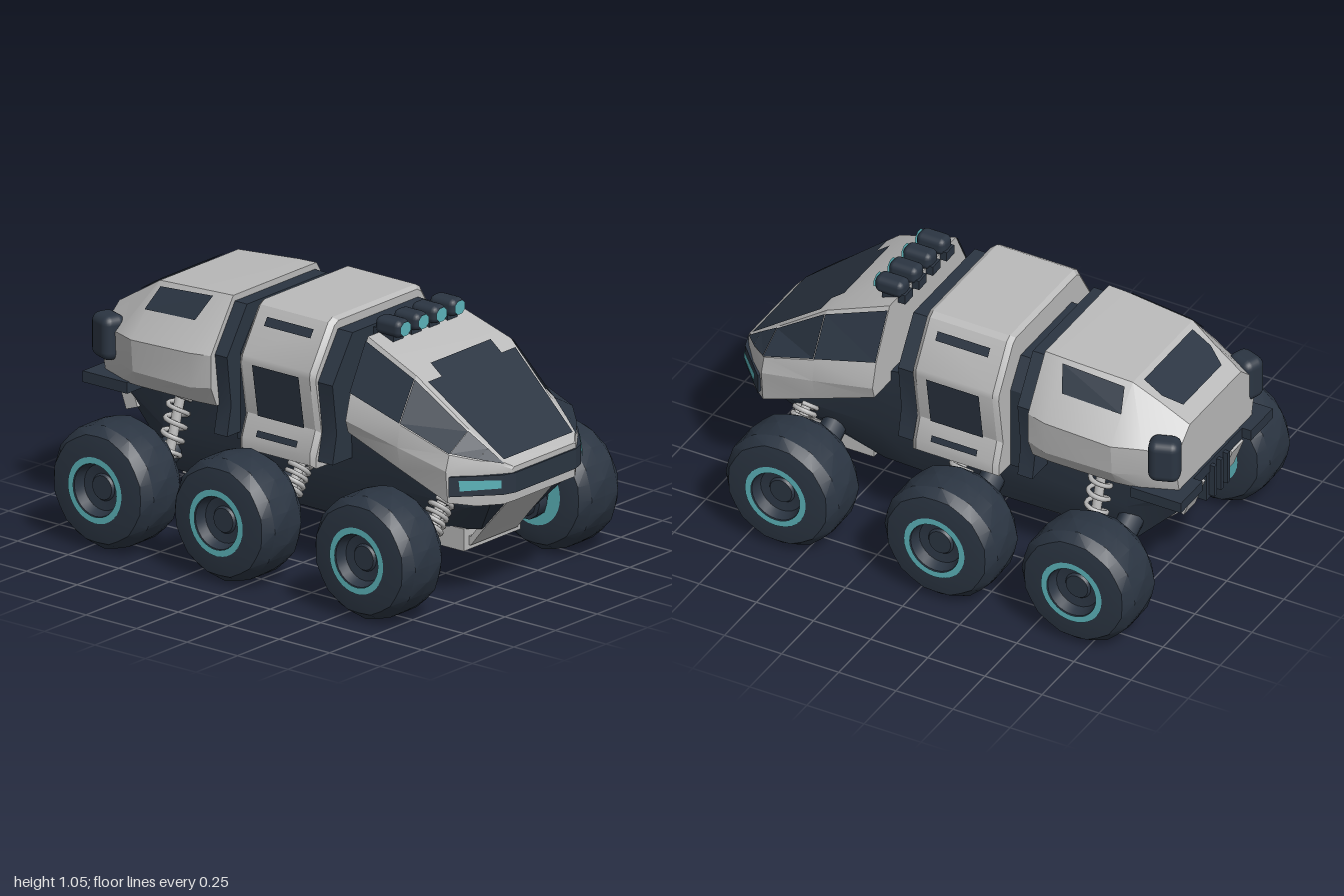
import * as THREE from 'three';
import { toCreasedNormals } from 'three/addons/utils/BufferGeometryUtils.js';
import { RoundedBoxGeometry } from 'three/addons/geometries/RoundedBoxGeometry.js';

const mat = (name, color) =>
  Object.assign(new THREE.MeshStandardMaterial({ color, side: THREE.DoubleSide }), { name });
const V = (x, y, z) => new THREE.Vector3(x, y, z);

export function createModel() {
  const hull = mat('hull grey', 0xbababa), dark = mat('dark navy', 0x2b3542), teal = mat('teal', 0x5cb4bb);
  const model = new THREE.Group();
  const add = (name, geo, m, parent = model) => {
    const mesh = new THREE.Mesh(geo, m);
    mesh.name = name;
    parent.add(mesh);
    return mesh;
  };
  const box = (name, m, w, h, d, x, y, z) => {
    const b = add(name, new THREE.BoxGeometry(w, h, d), m);
    b.position.set(x, y, z);
    return b;
  };
  const fromPoints = pts => new THREE.BufferGeometry().setFromPoints(pts);

  // Symmetric shell from half sections [z, [x, y]...], listed front to back
  const loft = (name, m, sections) => {
    const rings = sections.map(([z, ...half]) => [
      ...half.map(([x, y]) => V(x, y, z)), ...half.map(([x, y]) => V(-x, y, z)).reverse()]);
    const n = rings[0].length, tris = [];
    const quad = (a, b, c, d) => tris.push(a, b, c, a, c, d);
    for (let i = 0; i + 1 < rings.length; i++) for (let k = 0; k < n; k++) {
      const j = (k + 1) % n, [p, q] = [rings[i], rings[i + 1]];
      if (k < n / 2) quad(p[k], p[j], q[j], q[k]);
      else quad(p[j], q[j], q[k], p[k]);
    }
    const f = rings[0], b = rings[rings.length - 1];
    for (let k = 0; k + 1 < n / 2; k++) {
      quad(f[k], f[n - 1 - k], f[n - 2 - k], f[k + 1]);
      quad(b[k], b[k + 1], b[n - 2 - k], b[n - 1 - k]);
    }
    return add(name, toCreasedNormals(fromPoints(tris), 0.4), m);
  };

  // Thin convex panel lifted a little off the surface
  const plate = (name, m, pts, lift = 0.007) => {
    const nrm = pts[1].clone().sub(pts[0]).cross(pts[2].clone().sub(pts[0])).normalize();
    const inward = nrm.dot(V(pts[0].x + pts[2].x, pts[0].y + pts[2].y - 1.1, 0.6 * pts[0].z)) < 0;
    if (inward) nrm.negate();
    const p = pts.map(q => q.clone().addScaledVector(nrm, lift)), tris = [];
    for (let i = 1; i + 1 < p.length; i++)
      tris.push(p[0], ...(inward ? [p[i + 1], p[i]] : [p[i], p[i + 1]]));
    const g = fromPoints(tris);
    g.computeVertexNormals();
    add(name, g, m);
  };
  const plates = (name, m, pts, lift) => {
    plate(name + 'Left', m, pts, lift);
    plate(name + 'Right', m, pts.map(p => V(-p.x, p.y, p.z)), lift);
  };
  // Point on a half section, between its points k and k + 1
  const on = ([z, ...h], k, t) =>
    V(h[k][0] + (h[k + 1][0] - h[k][0]) * t, h[k][1] + (h[k + 1][1] - h[k][1]) * t, z);
  const rod = (name, m, a, b, r, parent) => {
    const c = add(name, new THREE.CylinderGeometry(r, r, a.distanceTo(b), 10), m, parent);
    c.position.copy(a).lerp(b, 0.5);
    c.quaternion.setFromUnitVectors(V(0, 1, 0), b.clone().sub(a).normalize());
  };

  // Chassis and belly
  loft('chassis', dark, [
    [0.93, [0.25, 0.47], [0.25, 0.45], [0.14, 0.44]],
    [0.8, [0.26, 0.56], [0.24, 0.4], [0.15, 0.29]],
    [0.4, [0.25, 0.67], [0.24, 0.4], [0.17, 0.205]],
    [0.24, [0.25, 0.7], [0.24, 0.4], [0.17, 0.2]],
    [-0.7, [0.25, 0.62], [0.24, 0.4], [0.17, 0.21]],
    [-0.91, [0.22, 0.58], [0.2, 0.5], [0.15, 0.42]]]);
  const belly = [[0.93, 0.44], [0.8, 0.29], [0.74, 0.215], [0.4, 0.2], [0.24, 0.197], [-0.68, 0.205], [-0.91, 0.41]];
  loft('bellyPlate', hull, belly.map(([z, y]) => [z, [0.14, y + 0.03], [0.14, y - 0.006]]));
  box('frontSkid', hull, 0.34, 0.09, 0.28, 0, 0.235, 0.59);
  box('rearSkid', hull, 0.32, 0.04, 0.46, 0, 0.217, -0.44);
  for (const z of [0.28, -0.02]) box('bellyPanel', dark, 0.18, 0.012, 0.2, 0, 0.19, z);

  // Front cabin
  const cabin = [
    [0.988, [0.18, 0.592], [0.19, 0.585], [0.19, 0.56], [0.18, 0.455]],
    [0.965, [0.212, 0.612], [0.218, 0.6], [0.225, 0.57], [0.215, 0.445]],
    [0.9, [0.228, 0.66], [0.295, 0.628], [0.31, 0.575], [0.3, 0.445]],
    [0.82, [0.245, 0.722], [0.368, 0.652], [0.388, 0.59], [0.376, 0.46]],
    [0.59, [0.285, 0.9], [0.385, 0.728], [0.4, 0.64], [0.38, 0.545]],
    [0.33, [0.26, 0.995], [0.368, 0.79], [0.395, 0.69], [0.38, 0.64]]];
  loft('cabin', hull, cabin);
  for (let i = 1; i < 5; i++) {
    const [a, b] = [cabin[i], cabin[i + 1]];
    const [t0, t1] = i === 1 ? [0.5, 0.6] : [0.08, 0.98];
    plates('cabinSideWindow', dark, [on(a, 0, t0), on(b, 0, 0.08), on(b, 0, 0.98), on(a, 0, t1)]);
  }
  const ws = (x, z) => V(x, 0.9 - 0.775 * (z - 0.59), z);
  plate('windshield', dark, [ws(-0.262, 0.625), ws(-0.207, 0.955), ws(0.207, 0.955), ws(0.262, 0.625)]);
  plate('windshieldTop', dark, [ws(-0.18, 0.57), ws(-0.18, 0.625), ws(0.18, 0.625), ws(0.18, 0.57)]);

  // Wraparound bumper band with headlights
  const plan = [[0.388, 0.835], [0.235, 0.977], [0.18, 0.996]];
  const outline = [...plan, ...plan.map(([x, z]) => [-x, z]).reverse()];
  const band = new THREE.ExtrudeGeometry(
    new THREE.Shape(outline.map(([x, z]) => new THREE.Vector2(x, -z))), { depth: 0.08, bevelEnabled: false });
  add('bumperBand', band.rotateX(-Math.PI / 2), dark).position.y = 0.49;
  const lamp = (t, y) => V(0.388 - 0.153 * t, y, 0.835 + 0.142 * t);
  plates('headlight', teal, [lamp(0.2, 0.513), lamp(0.97, 0.518), lamp(0.97, 0.55), lamp(0.18, 0.556)], 0.005);

  // Roof lamps
  const lampShape = new RoundedBoxGeometry(0.076, 0.07, 0.125, 2, 0.024);
  const lensShape = new THREE.CircleGeometry(0.034, 8, Math.PI / 8).scale(1, 0.88, 1);
  for (const x of [-0.163, -0.054, 0.054, 0.163]) {
    add('roofLamp', lampShape, dark).position.set(x, 1.022, 0.372);
    add('roofLampLens', lensShape, teal).position.set(x, 1.023, 0.437);
    box('roofLampFoot', dark, 0.06, 0.04, 0.1, x, 0.99, 0.35);
  }

  // Joints between the modules
  const frame = [[0.24, 0.985], [0.36, 0.8], [0.335, 0.6], [0.36, 0.48]];
  loft('frontJointFrame', dark, [[0.237, ...frame], [0.16, ...frame]]);
  loft('rearJointFrame', dark, [[-0.285, ...frame], [-0.35, ...frame]]);
  loft('rearJointNeck', dark, [0.1, -0.3].map(z => [z, [0.2, 0.915], [0.28, 0.8], [0.28, 0.45]]));

  // Middle module
  const mid = [[0.25, 1.03], [0.275, 1.015], [0.383, 0.84], [0.387, 0.815], [0.352, 0.6], [0.385, 0.51], [0.385, 0.465]];
  const inset = mid.map(([x, y]) => [x - 0.014, y - 0.012]);
  const midAt = z => [z, ...mid];
  loft('middleModule', hull, [[0.165, ...inset], midAt(0.145), midAt(-0.19), [-0.21, ...inset]]);
  const panel = (name, k, t0, t1, z0, z1) => plates(name, dark,
    [on(midAt(z0), k, t0), on(midAt(z1), k, t0), on(midAt(z1), k, t1), on(midAt(z0), k, t1)]);
  panel('middleWindow', 3, 0, 1, 0.096, -0.134);
  panel('upperVent', 1, 0.2, 0.38, 0.096, -0.134);
  panel('lowerVent', 4, 0.6, 0.87, 0.08, -0.12);

  // Rear module
  const rear = [
    [-0.345, [0.25, 1.01], [0.385, 0.8], [0.385, 0.67], [0.35, 0.59]],
    [-0.43, [0.25, 1.006], [0.41, 0.8], [0.405, 0.66], [0.36, 0.59]],
    [-0.72, [0.235, 0.985], [0.41, 0.79], [0.4, 0.66], [0.36, 0.59]],
    [-0.83, [0.215, 0.918], [0.355, 0.78], [0.35, 0.66], [0.33, 0.58]],
    [-0.95, [0.2, 0.845], [0.3, 0.76], [0.3, 0.66], [0.28, 0.57]]];
  loft('rearModule', hull, rear);
  const side = (t, u) => on(rear[1], 0, t).lerp(on(rear[2], 0, t), u);
  plates('rearSideWindow', dark, [side(0.08, 0), side(0.1, 0.92), side(0.5, 1), side(0.5, 0.12)]);
  const slope = (x, z) => V(x, 0.985 + 0.609 * (z + 0.72), z);
  plate('rearWindow', dark, [[0.19, -0.74], [0.19, -0.82], [0.15, -0.89], [-0.15, -0.89], [-0.19, -0.82], [-0.19, -0.74]]
    .map(([x, z]) => slope(x, z)));
  const podShape = new RoundedBoxGeometry(0.1, 0.18, 0.125, 3, 0.035);
  for (const s of [1, -1]) {
    const pod = add('tailPod', podShape, dark);
    pod.position.set(s * 0.318, 0.745, -0.907);
    pod.rotation.y = s * 0.35;
    box('rearStep', dark, 0.17, 0.045, 0.22, s * 0.275, 0.568, -0.89);
    box('tailBracket', hull, 0.09, 0.13, 0.06, s * 0.15, 0.48, -0.915).rotation.x = -0.35;
  }
  box('rearCrossbar', dark, 0.4, 0.05, 0.16, 0, 0.565, -0.88);
  box('towHitch', dark, 0.16, 0.13, 0.09, 0, 0.48, -0.91);
  for (const x of [-0.05, 0, 0.05]) box('hitchRib', dark, 0.018, 0.14, 0.05, x, 0.5, -0.955);

  // Wheel profile [radius, offset], turned about the axle, with uneven tread blocks
  const tyre = new THREE.LatheGeometry([
    [0, -0.125], [0.08, -0.13], [0.165, -0.13], [0.218, -0.118], [0.248, -0.078], [0.254, 0], [0.248, 0.078],
    [0.218, 0.118], [0.135, 0.13], [0.106, 0.128], [0.092, 0.085], [0.055, 0.08], [0.048, 0.09], [0, 0.09]]
    .map(([r, y]) => new THREE.Vector2(r, y)), 24);
  const tp = tyre.attributes.position;
  for (let i = 0; i < tp.count; i++) {
    const r = Math.hypot(tp.getX(i), tp.getZ(i)), seg = Math.floor(i / 14) % 24;
    if (r > 0.2 && (seg + i % 14) % 2) tp.setXYZ(i, tp.getX(i) * 0.98, tp.getY(i), tp.getZ(i) * 0.98);
  }
  const tyreGeo = toCreasedNormals(tyre.rotateZ(-Math.PI / 2), 0.3);
  const rim = new THREE.RingGeometry(0.107, 0.133, 32).rotateY(Math.PI / 2);
  const innerRim = new THREE.RingGeometry(0.075, 0.135, 32).rotateY(-Math.PI / 2);

  // Wheels, arms and coil springs, built on the left and turned for the right
  for (const [z, topY] of [[0.605, 0.41], [-0.09, 0.42], [-0.69, 0.56]]) for (const s of [1, -1]) {
    const unit = new THREE.Group();
    unit.name = s > 0 ? 'wheelUnitLeft' : 'wheelUnitRight';
    unit.position.z = z;
    if (s < 0) unit.rotation.y = Math.PI;
    model.add(unit);
    add('wheel', tyreGeo, dark, unit).position.set(0.53, 0.255, 0);
    add('rimRing', rim, teal, unit).position.set(0.664, 0.255, 0);
    add('innerRimRing', innerRim, teal, unit).position.set(0.396, 0.255, 0);
    rod('hub', dark, V(0.35, 0.225, 0), V(0.42, 0.225, 0), 0.072, unit);
    rod('arm', dark, V(0.16, 0.33, 0), V(0.37, 0.215, 0), 0.052, unit);
    const dz = s * 0.09, low = V(0.335, 0.3, dz), high = V(0.255, topY, dz);
    rod('damper', hull, low, high, 0.02, unit);
    const axis = high.clone().sub(low), u = V(axis.y, -axis.x, 0).normalize(), coil = [];
    for (let i = 0; i <= 48; i++) {
      const a = i / 48 * Math.PI * 10;
      coil.push(low.clone().addScaledVector(axis, i / 48)
        .addScaledVector(u, 0.042 * Math.cos(a)).add(V(0, 0, 0.042 * Math.sin(a))));
    }
    add('spring', new THREE.TubeGeometry(new THREE.CatmullRomCurve3(coil), 96, 0.01, 6), hull, unit);
  }
  return model;
}
